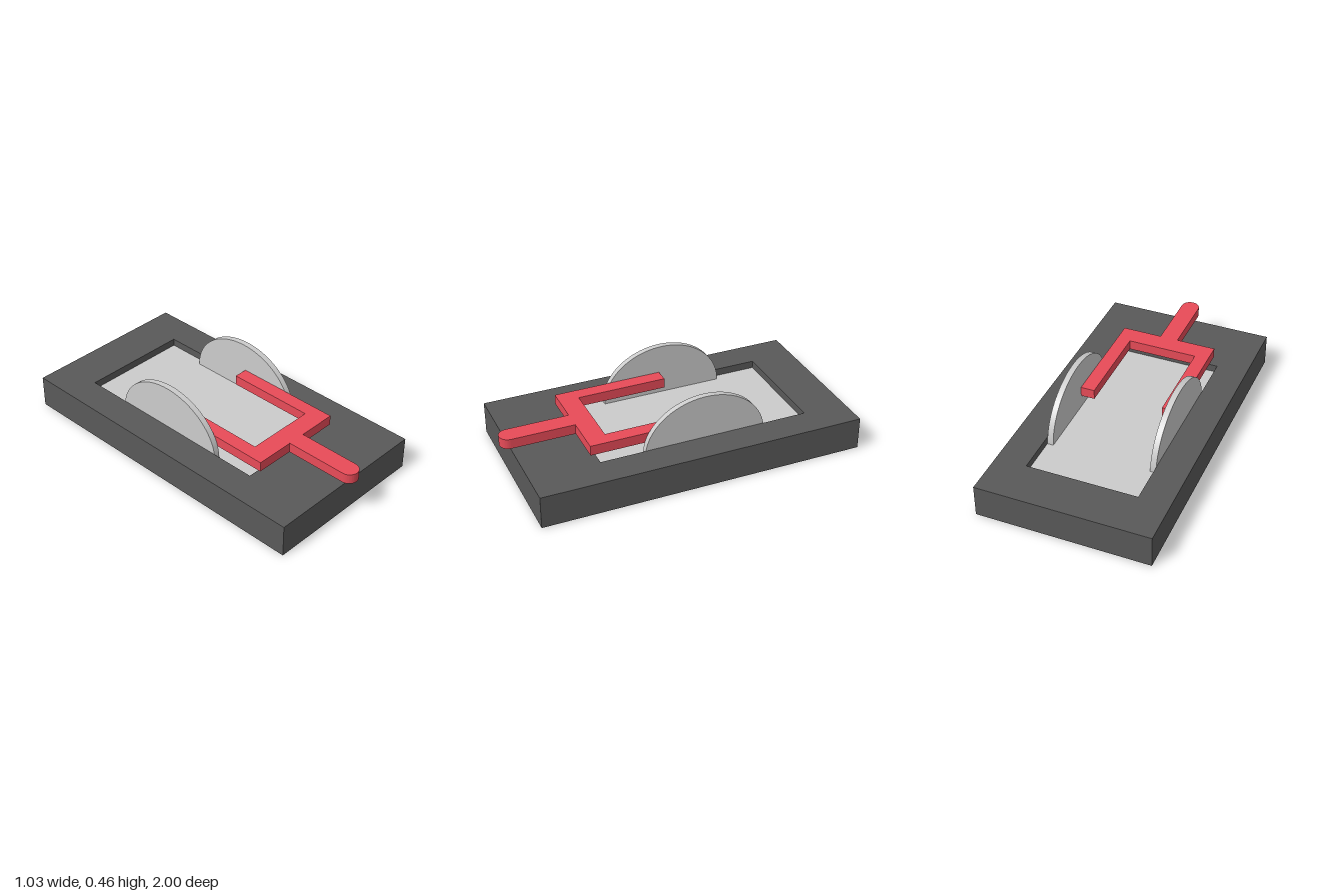
import * as THREE from 'three';
import { toCreasedNormals } from 'three/addons/utils/BufferGeometryUtils.js';

const BASE_TOP = 0.195, PLATE_TOP = 0.15, BOTTOM = 0.02;
const POCKET = { x: 0.33, back: -0.735, front: 0.53 };

// Rectangular outline on the ground plane; shape y is -z
function rectPoints(x, back, front) {
  return [[-x, -front], [x, -front], [x, -back], [-x, -back]].map(([a, b]) => new THREE.Vector2(a, b));
}

// Extrude a plan outline upward from y = bottom
function slab(shape, bottom, height) {
  const geo = new THREE.ExtrudeGeometry(shape, { depth: height, bevelEnabled: false, curveSegments: 24 });
  geo.rotateX(-Math.PI / 2).translate(0, bottom, 0);
  return toCreasedNormals(geo, 0.6);
}

export function createModel() {
  const group = new THREE.Group();
  const dark = new THREE.MeshStandardMaterial({ color: 0x595959 });
  const grey = new THREE.MeshStandardMaterial({ color: 0xcccccc });
  const red = new THREE.MeshStandardMaterial({ color: 0xe84b58 });

  const add = (name, geo, material) => {
    const mesh = new THREE.Mesh(geo, material);
    mesh.name = name;
    group.add(mesh);
    return mesh;
  };

  // Base block with a rectangular pocket
  const frame = new THREE.Shape(rectPoints(0.515, -1, 0.94));
  const pocket = rectPoints(POCKET.x, POCKET.back, POCKET.front);
  frame.holes.push(new THREE.Path(pocket));
  add('baseFrame', slab(frame, 0, BASE_TOP), dark);
  add('baseBottom', slab(new THREE.Shape(pocket), 0, BOTTOM), dark);

  // Plate sunk into the pocket
  add('pocketPlate', slab(new THREE.Shape(pocket), BOTTOM, PLATE_TOP - BOTTOM), grey);

  // Pair of upright domed cheeks standing on the plate
  const dome = new THREE.Shape();
  dome.absellipse(0, 0, 0.368, 0.309, 0, Math.PI, false, 0);
  dome.closePath();
  const thickness = 0.035;
  const domeGeo = toCreasedNormals(
    new THREE.ExtrudeGeometry(dome, { depth: thickness, bevelEnabled: false, curveSegments: 48 })
      .translate(0, 0, -thickness / 2)
      .rotateY(Math.PI / 2), 0.6);
  for (const [name, side] of [['leftCheek', 1], ['rightCheek', -1]]) {
    add(name, domeGeo, grey).position.set(side * 0.3105, PLATE_TOP, -0.104);
  }

  // Forked lever: two arms, crossbar and round-ended handle
  const fork = new THREE.Shape();
  const r = 0.055;
  fork.moveTo(r, -(1 - r));
  fork.lineTo(r, -0.572);
  fork.lineTo(0.293, -0.572);
  fork.lineTo(0.293, 0.085);
  fork.lineTo(0.21, 0.085);
  fork.lineTo(0.21, -0.455);
  fork.lineTo(-0.21, -0.455);
  fork.lineTo(-0.21, 0.085);
  fork.lineTo(-0.293, 0.085);
  fork.lineTo(-0.293, -0.572);
  fork.lineTo(-r, -0.572);
  fork.lineTo(-r, -(1 - r));
  fork.absarc(0, -(1 - r), r, Math.PI, Math.PI * 2, false);
  add('forkLever', slab(fork, 0.227, 0.06), red);

  return group;
}
